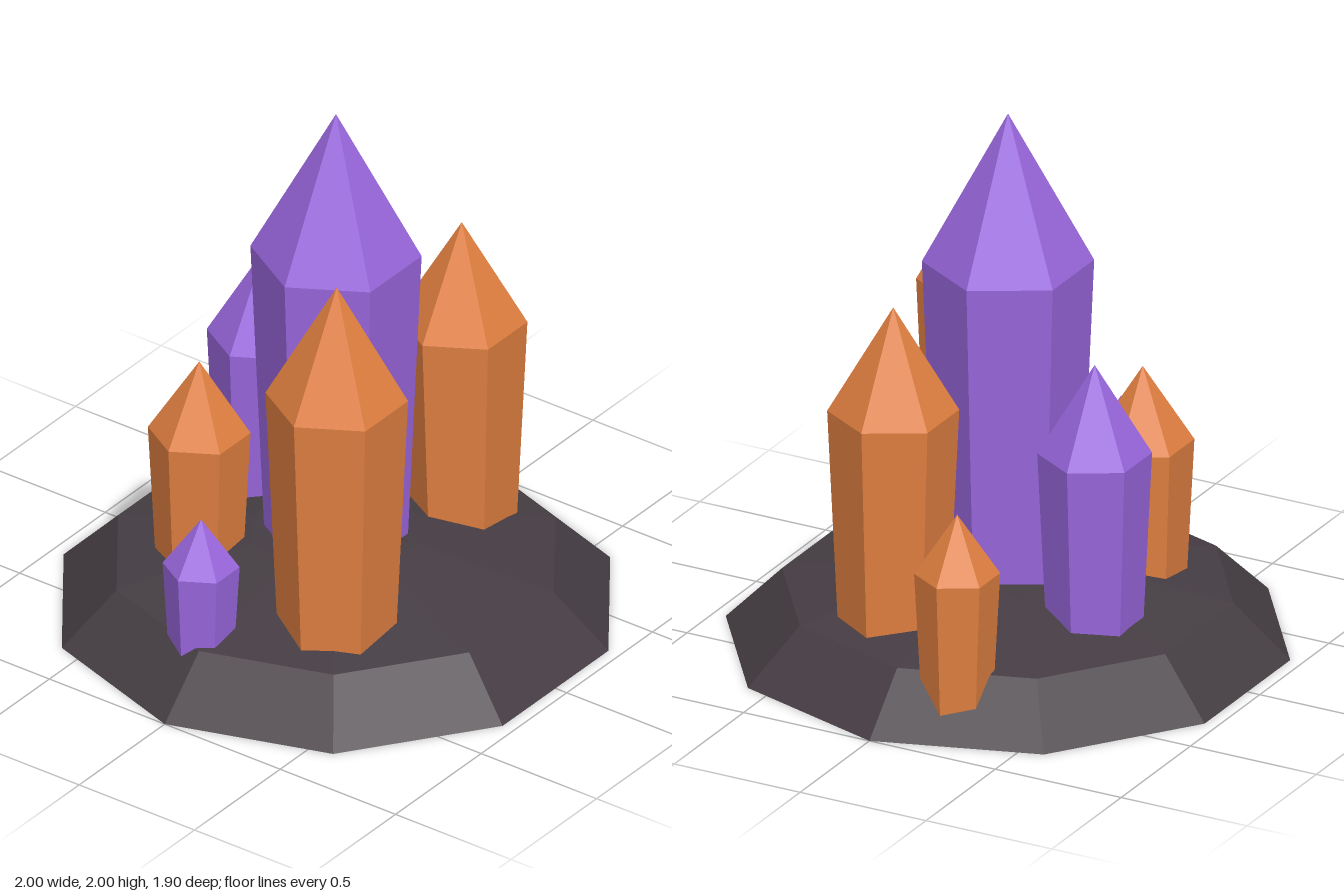
import * as THREE from 'three';

const stone = new THREE.MeshStandardMaterial({ name: 'darkStone', color: 0x453d43, flatShading: true });
const purple = new THREE.MeshStandardMaterial({ name: 'purpleCrystal', color: 0x9966dd, flatShading: true });
const orange = new THREE.MeshStandardMaterial({ name: 'orangeCrystal', color: 0xe07f40, flatShading: true });

// Faceted solid from a [radius, height] profile, with a corner on the x axis
function faceted(name, profile, sides, material) {
  const points = profile.map(([r, y]) => new THREE.Vector2(r, y));
  const mesh = new THREE.Mesh(new THREE.LatheGeometry(points, sides, Math.PI / 2), material);
  mesh.name = name;
  return mesh;
}

// Six-sided crystal that widens to a shoulder, then comes to a point
function crystal(name, x, z, radius, height, material) {
  const profile = [[0, 0.005], [radius * 0.8, 0.005], [radius, height * 0.72], [0, height]];
  const mesh = faceted(name, profile, 6, material);
  mesh.position.set(x, 0, z);
  return mesh;
}

export function createModel() {
  const group = new THREE.Group();
  group.name = 'crystalCluster';

  // Ten-sided rock with a bevelled rim and a low mound
  group.add(faceted('rockBase', [[0, 0], [1, 0], [0.8, 0.2], [0.3, 0.3], [0, 0.31]], 10, stone));

  // Crystals: name, x, z, shoulder radius, height, colour
  const crystals = [
    ['centreCrystal', 0, 0, 0.3, 2, purple],
    ['frontRightCrystal', -0.4, 0.3, 0.25, 1.6, orange],
    ['frontLeftCrystal', 0.465, 0.2, 0.23, 1.4, orange],
    ['backLeftCrystal', 0.165, -0.435, 0.2, 1.2, purple],
    ['backRightCrystal', -0.3, -0.37, 0.18, 1, orange],
    ['smallLeftCrystal', 0.73, -0.2, 0.15, 0.8, orange],
    ['smallRightCrystal', -0.7, -0.065, 0.135, 0.665, purple],
  ];
  for (const spec of crystals) group.add(crystal(...spec));

  return group;
}
